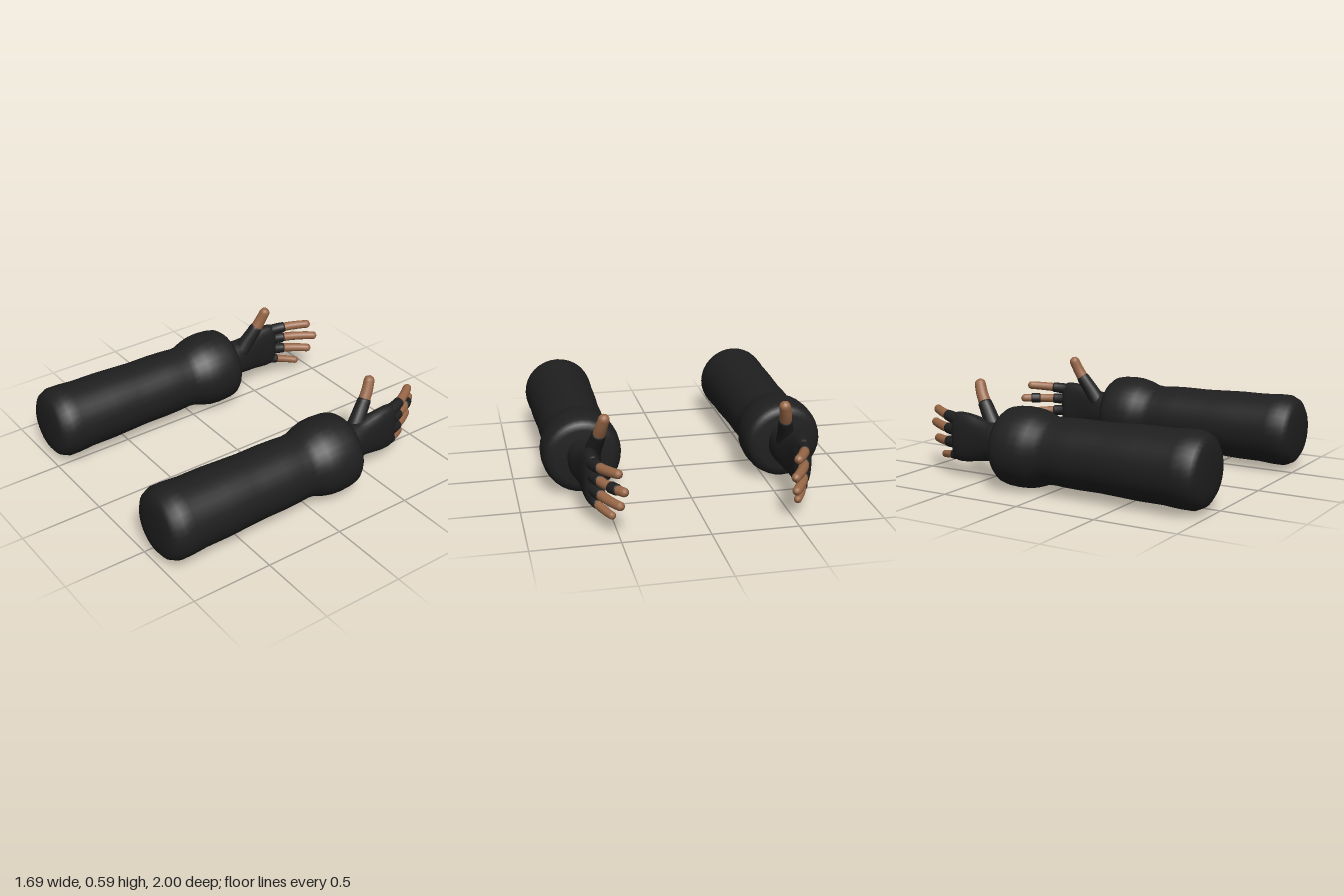
import * as THREE from 'three';
import { mergeVertices } from 'three/addons/utils/BufferGeometryUtils.js';

const cloth = new THREE.MeshStandardMaterial({ color: 0x1f1f1f });
cloth.name = 'black cloth';
const skin = new THREE.MeshStandardMaterial({ color: 0x986747 });
skin.name = 'brown skin';

// Weld the seams and smooth the normals
function smooth(geometry) {
  geometry.deleteAttribute('uv');
  geometry.deleteAttribute('normal');
  const welded = mergeVertices(geometry, 1e-5);
  welded.computeVertexNormals();
  return welded;
}

function add(group, name, geometry, material) {
  const mesh = new THREE.Mesh(geometry, material);
  mesh.name = name;
  group.add(mesh);
}

// Tapered tube along points, closed by rounded ends; round is the end length in radii
function sausage(points, r0, r1, round = 1) {
  const curve = new THREE.CatmullRomCurve3(points.map(p => new THREE.Vector3(...p)));
  const length = curve.getLength(), rows = 28, sides = 14;
  const geo = new THREE.TubeGeometry(curve, rows, 1, sides);
  const pos = geo.attributes.position, v = new THREE.Vector3();
  for (let i = 0; i <= rows; i++) {
    const t = i / rows, centre = curve.getPointAt(t);
    const r = r0 + (r1 - r0) * t;
    const d = Math.min(1, Math.min(t, 1 - t) * length / (r * round));
    const radius = Math.max(r * Math.sqrt(1 - (1 - d) ** 2), 0.0002);
    for (let j = 0; j <= sides; j++) {
      const k = i * (sides + 1) + j;
      v.fromBufferAttribute(pos, k).sub(centre).multiplyScalar(radius).add(centre);
      pos.setXYZ(k, v.x, v.y, v.z);
    }
  }
  return smooth(geo);
}

// Loft of rounded sections [z, x, y, halfWidth, halfHeight], running towards -z
function loft(sections, side) {
  const sides = 28, verts = [], index = [];
  sections.forEach(([z, x, y, w, h], i) => {
    for (let j = 0; j < sides; j++) {
      const a = j / sides * Math.PI * 2, c = Math.cos(a), s = Math.sin(a);
      verts.push(x * side + w * Math.sign(c) * Math.abs(c) ** 0.85, y + h * Math.sign(s) * Math.abs(s) ** 0.85, z);
      if (i === 0) continue;
      const a0 = (i - 1) * sides + j, a1 = (i - 1) * sides + (j + 1) % sides;
      index.push(a0, a0 + sides, a1, a1, a0 + sides, a1 + sides);
    }
  });
  const geo = new THREE.BufferGeometry();
  geo.setAttribute('position', new THREE.Float32BufferAttribute(verts, 3));
  geo.setIndex(index);
  geo.computeVertexNormals();
  return geo;
}

// Sleeve profile as [z, radius], from the back cap to the cuff opening
const sleeveProfile = [
  [0.998, 0], [0.995, 0.1], [0.987, 0.165], [0.965, 0.198], [0.92, 0.219], [0.85, 0.219], [0.75, 0.212],
  [0.6, 0.212], [0.45, 0.206], [0.35, 0.202], [0.2, 0.203], [0.1, 0.2], [0.03, 0.195], [-0.02, 0.2],
  [-0.08, 0.222], [-0.13, 0.234], [-0.19, 0.238], [-0.26, 0.234], [-0.3, 0.225], [-0.325, 0.205],
  [-0.333, 0.17], [-0.335, 0],
];

// Palm sections, from inside the cuff to the knuckles
const palm = [
  [-0.3, 0.607, 0.245, 0.094, 0.113], [-0.38, 0.607, 0.245, 0.096, 0.114], [-0.44, 0.605, 0.245, 0.085, 0.116],
  [-0.5, 0.603, 0.248, 0.071, 0.125], [-0.56, 0.608, 0.252, 0.063, 0.138], [-0.62, 0.61, 0.253, 0.057, 0.149],
  [-0.67, 0.608, 0.253, 0.054, 0.152], [-0.7, 0.607, 0.253, 0.051, 0.149], [-0.722, 0.605, 0.253, 0.042, 0.138],
  [-0.734, 0.602, 0.253, 0.024, 0.115], [-0.735, 0.602, 0.253, 0.0002, 0.0002],
];

// Fingers: base and tip heights, end of the glove, tip depth, radius and extra inward lean
const fingers = [
  { name: 'index', y0: 0.355, y1: 0.381, cut: -0.812, tip: -0.957, r: 0.029, lean: 0.008 },
  { name: 'middle', y0: 0.287, y1: 0.289, cut: -0.81, tip: -0.998, r: 0.029, lean: 0.004 },
  { name: 'ring', y0: 0.212, y1: 0.193, cut: -0.81, tip: -0.965, r: 0.029, lean: 0.01 },
  { name: 'little', y0: 0.142, y1: 0.105, cut: -0.76, tip: -0.885, r: 0.025, lean: 0.025 },
];

// Centre line of a finger between two depths, curling inward
function fingerPath(f, from, to, side) {
  return [0, 0.33, 0.67, 1].map(t => {
    const z = from + (to - from) * t, along = (z + 0.69) / (f.tip + 0.69);
    const curl = 1.05 * Math.max(0, -0.68 - z) ** 1.75;
    return [(0.608 - curl - f.lean * along) * side, f.y0 + (f.y1 - f.y0) * along, z];
  });
}

function arm(side) {
  const group = new THREE.Group();
  group.name = side > 0 ? 'leftArm' : 'rightArm';

  const sleeve = new THREE.LatheGeometry(sleeveProfile.map(([z, r]) => new THREE.Vector2(r, -z)), 32);
  sleeve.rotateX(-Math.PI / 2).translate(0.609 * side, 0.244, 0);
  add(group, 'sleeve', smooth(sleeve), cloth);
  add(group, 'glovePalm', loft(palm, side), cloth);

  for (const f of fingers) {
    add(group, f.name + 'GloveFinger', sausage(fingerPath(f, -0.67, f.cut, side), f.r + 0.01, f.r + 0.004, 0.5), cloth);
    add(group, f.name + 'Finger', sausage(fingerPath(f, f.cut + 0.05, f.tip, side), f.r + 0.001, f.r - 0.003), skin);
  }

  // Thumb
  const at = points => points.map(([x, y, z]) => [x * side, y, z]);
  add(group, 'gloveThumb', sausage(at([[0.578, 0.28, -0.43], [0.567, 0.36, -0.478], [0.553, 0.425, -0.52], [0.543, 0.48, -0.556]]), 0.054, 0.04, 0.6), cloth);
  add(group, 'thumb', sausage(at([[0.548, 0.44, -0.53], [0.536, 0.51, -0.569], [0.515, 0.597, -0.605]]), 0.038, 0.032), skin);

  // Band worn on one middle finger
  if (side > 0) add(group, 'fingerBand', sausage(fingerPath(fingers[1], -0.882, -0.944, side), 0.034, 0.032, 0.35), cloth);
  return group;
}

export function createModel() {
  const model = new THREE.Group();
  model.name = 'glovedArms';
  model.add(arm(1), arm(-1));
  return model;
}
